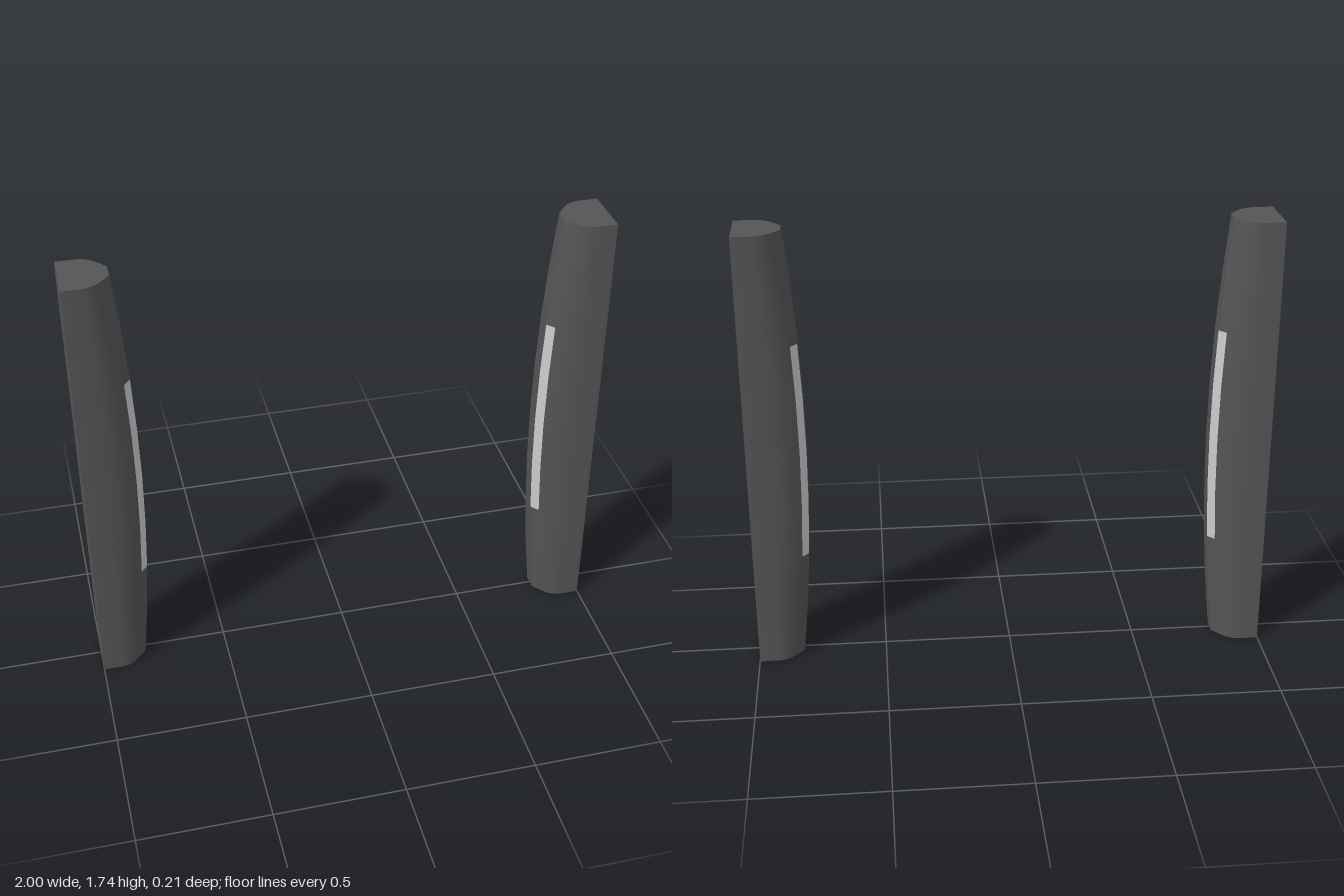
import * as THREE from 'three';
import { toCreasedNormals } from 'three/addons/utils/BufferGeometryUtils.js';

const HEIGHT = 1.74, ROWS = 8, SHOULDER = 0.92, HALF = 0.105;

// Half of the cross-section at a height: outer corner, rounded flank, bevel, inner face
function section(y) {
  const t = (2 * y) / HEIGHT - 1;
  const tip = 0.775 + 0.05 * t * t;
  const bevel = tip + 0.025, d = SHOULDER - bevel;
  const half = [
    [1, HALF], [SHOULDER, HALF],
    [SHOULDER - d * 0.36, 0.098], [SHOULDER - d * 0.7, 0.083],
    [bevel, 0.06], [tip, 0.03],
  ];
  const mirrored = half.map(([x, z]) => [x, -z]).reverse();
  return [...half, ...mirrored].map(([x, z]) => new THREE.Vector3(x, y, z));
}

const rings = Array.from({ length: ROWS + 1 }, (_, r) => section((HEIGHT * r) / ROWS));
const N = rings[0].length;

// Bevel cells in the middle half of the bar are the light strips
const isStrip = (r, i) => (i === 4 || i === N - 6) && r >= ROWS / 4 && r < (ROWS * 3) / 4;

function loft(strips) {
  const pts = [];
  for (let r = 0; r < ROWS; r++) {
    for (let i = 0; i < N; i++) {
      if (isStrip(r, i) !== strips) continue;
      const j = (i + 1) % N;
      const a = rings[r][i], b = rings[r][j], c = rings[r + 1][j], d = rings[r + 1][i];
      pts.push(a, d, c, a, c, b);
    }
  }
  // End caps
  if (!strips) {
    const lo = rings[0], hi = rings[ROWS];
    for (let i = 1; i < N - 1; i++) {
      pts.push(lo[0], lo[i], lo[i + 1], hi[0], hi[i + 1], hi[i]);
    }
  }
  const geo = new THREE.BufferGeometry().setFromPoints(pts);
  return toCreasedNormals(geo, 0.6);
}

export function createModel() {
  const model = new THREE.Group();
  model.name = 'pairOfBars';
  const bodyMat = new THREE.MeshStandardMaterial({ color: 0x555555 });
  const stripMat = new THREE.MeshStandardMaterial({ color: 0xcccccc });
  const bodyGeo = loft(false), stripGeo = loft(true);

  // Two identical bars facing each other
  for (const [name, turn] of [['leftBar', 0], ['rightBar', Math.PI]]) {
    const bar = new THREE.Group();
    bar.name = name;
    const body = new THREE.Mesh(bodyGeo, bodyMat);
    body.name = 'barBody';
    const strips = new THREE.Mesh(stripGeo, stripMat);
    strips.name = 'lightStrips';
    bar.add(body, strips);
    bar.rotation.y = turn;
    model.add(bar);
  }
  return model;
}
